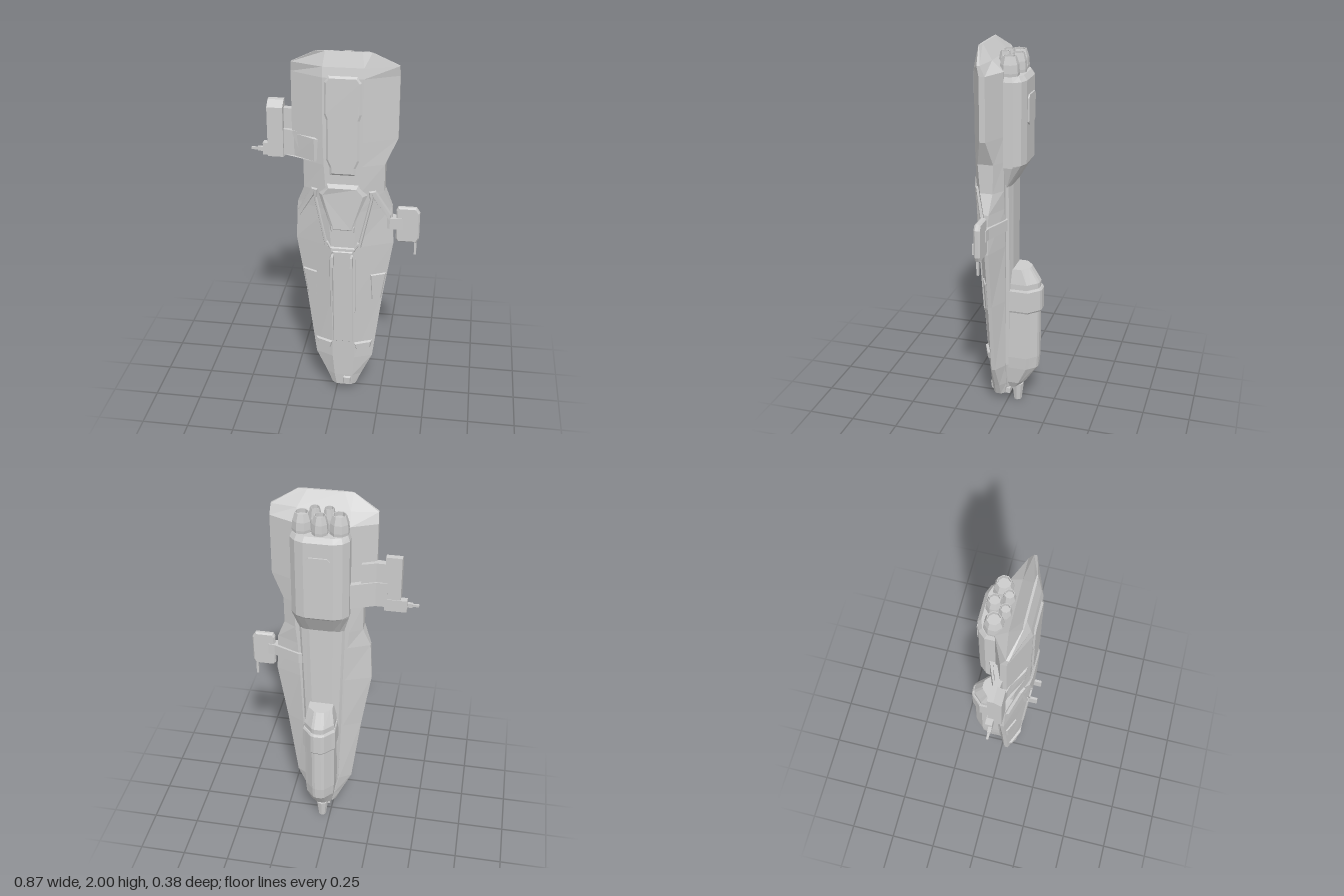
import * as THREE from 'three';

const mat = new THREE.MeshStandardMaterial({ color: 0xcccccc, flatShading: true, side: THREE.DoubleSide });

// Hull stations: y, half width, front flat half width, front z, rim front z, rim back z, back half width, back z
const HULL = [
  [0.05, 0.065, 0.04, 0.078, 0.06, 0.03, 0.05, 0.01],
  [0.12, 0.095, 0.05, 0.085, 0.055, 0.03, 0.06, 0],
  [0.25, 0.155, 0.06, 0.095, 0.055, 0.035, 0.09, -0.005],
  [0.65, 0.205, 0.06, 0.123, 0.055, 0.035, 0.11, -0.01],
  [0.97, 0.255, 0.06, 0.143, 0.055, 0.035, 0.12, -0.015],
  [1.18, 0.245, 0.075, 0.148, 0.06, 0.035, 0.13, -0.015],
  [1.28, 0.205, 0.085, 0.148, 0.09, 0.025, 0.14, -0.015],
  [1.43, 0.205, 0.095, 0.148, 0.1, 0.02, 0.14, -0.015],
  [1.56, 0.265, 0.1, 0.148, 0.07, 0.04, 0.14, -0.015],
  [1.88, 0.265, 0.1, 0.148, 0.07, 0.04, 0.14, -0.015],
  [1.93, 0.262, 0.1, 0.138, 0.08, 0.065, 0.13, 0.045],
  [2.0, 0.135, 0.09, 0.115, 0.111, 0.107, 0.09, 0.104],
];

// Height of the hull's front skin
function hullZ(x, y) {
  let i = 0;
  while (i < HULL.length - 2 && y > HULL[i + 1][0]) i++;
  const a = HULL[i], b = HULL[i + 1];
  const t = THREE.MathUtils.clamp((y - a[0]) / (b[0] - a[0]), 0, 1);
  const [, w, f, zf, ze] = a.map((v, k) => v + (b[k] - v) * t);
  const s = THREE.MathUtils.clamp((Math.abs(x) - f) / (w - f), 0, 1);
  return zf + (ze - zf) * s;
}

// Skin rings listed from low to high; each is {y, pts:[[x,z]...]} running front, +x, back, -x
function loft(rings) {
  const pos = [], n = rings[0].pts.length;
  const v = (r, i) => [r.pts[i % n][0], r.y, r.pts[i % n][1]];
  for (let k = 0; k < rings.length - 1; k++) {
    const a = rings[k], b = rings[k + 1];
    for (let i = 0; i < n; i++)
      pos.push(...v(a, i), ...v(a, i + 1), ...v(b, i + 1), ...v(a, i), ...v(b, i + 1), ...v(b, i));
  }
  const lo = rings[0], hi = rings[rings.length - 1];
  for (let i = 1; i < n - 1; i++)
    pos.push(...v(lo, 0), ...v(lo, i + 1), ...v(lo, i), ...v(hi, 0), ...v(hi, i), ...v(hi, i + 1));
  const g = new THREE.BufferGeometry();
  g.setAttribute('position', new THREE.Float32BufferAttribute(pos, 3));
  g.computeVertexNormals();
  return g;
}

const mirrored = (y, half) => ({ y, pts: [...half, ...half.map(([x, z]) => [-x, z]).reverse()] });

function add(parent, name, geo, x = 0, y = 0, z = 0) {
  const m = new THREE.Mesh(geo, mat);
  m.name = name;
  m.position.set(x, y, z);
  parent.add(m);
  return m;
}

function box(parent, name, x0, x1, y0, y1, z0, z1) {
  return add(parent, name, new THREE.BoxGeometry(x1 - x0, y1 - y0, z1 - z0),
    (x0 + x1) / 2, (y0 + y1) / 2, (z0 + z1) / 2);
}

// Raised panel that follows the hull skin
function panel(parent, name, pts, h, bevel = 0.005) {
  const shape = new THREE.Shape(pts.map(p => new THREE.Vector2(...p)));
  const g = new THREE.ExtrudeGeometry(shape, {
    depth: 0.015, bevelEnabled: true, bevelThickness: h, bevelSize: bevel, bevelOffset: -bevel, bevelSegments: 1,
  });
  const p = g.attributes.position;
  for (let i = 0; i < p.count; i++)
    p.setZ(i, p.getZ(i) - 0.015 + hullZ(p.getX(i), p.getY(i)));
  g.computeVertexNormals();
  return add(parent, name, g);
}

const sym = half => [...half, ...half.map(([x, y]) => [-x, y]).reverse()];

export function createModel() {
  const model = new THREE.Group();
  model.name = 'spacecraft';
  const body = new THREE.Group();
  body.name = 'body';
  body.position.x = 0.045;
  model.add(body);

  // Main hull
  add(body, 'hull', loft(HULL.map(([y, w, f, zf, ze, zr, b, zb]) =>
    mirrored(y, [[f, zf], [w, ze], [w, zr], [b, zb]]))));

  // Rounded keel along the back
  const keel = [[0.09, 0.05, -0.02], [0.25, 0.085, -0.035], [0.7, 0.105, -0.04], [1.45, 0.13, -0.042]];
  add(body, 'keel', loft(keel.map(([y, w, z]) =>
    mirrored(y, [[w, 0.03], [w, -0.008], [w * 0.85, z * 0.7], [w * 0.5, z]]))));

  // Engine housing with sloped ends
  const engine = [[1.29, 0.115, -0.04], [1.4, 0.145, -0.105], [1.41, 0.145, -0.113], [1.83, 0.145, -0.113], [1.855, 0.135, -0.095]];
  add(body, 'engineHousing', loft(engine.map(([y, w, z]) =>
    mirrored(y, [[w, 0.03], [w, z * 0.55], [w * 0.8, z * 0.85], [w * 0.5, z]]))));
  const hatch = new THREE.Shape([[0.06, 1.62], [0.06, 1.74], [0.045, 1.755], [-0.045, 1.755], [-0.06, 1.74],
    [-0.06, 1.62], [-0.045, 1.605], [0.045, 1.605]].map(p => new THREE.Vector2(...p)));
  add(body, 'engineHatch', new THREE.ExtrudeGeometry(hatch, { depth: 0.03, bevelEnabled: false }), 0, 0, -0.121);

  // Engine nozzles with recessed mouths
  for (const [x, z, r, top] of [[-0.09, -0.03, 0.05, 1.95], [0.09, -0.03, 0.05, 1.95], [0, -0.05, 0.042, 1.95],
    [-0.035, 0.008, 0.035, 1.96], [0.035, 0.008, 0.035, 1.96]]) {
    const prof = [[r * 0.8, 1.8], [r * 0.95, 1.84], [r, 1.87], [r * 0.93, 1.91], [r * 0.68, top],
      [r * 0.6, top], [r * 0.6, top - 0.02], [0, top - 0.02]];
    add(body, 'engineNozzle', new THREE.LatheGeometry(prof.map(p => new THREE.Vector2(...p)), 8, Math.PI / 8), x, 0, z);
  }

  // Belly pod
  const pod = [[0.09, 0.04, -0.06], [0.13, 0.06, -0.1], [0.23, 0.075, -0.168], [0.3, 0.08, -0.174],
    [0.74, 0.08, -0.174], [0.82, 0.065, -0.125]];
  const podRing = (y, w, z) => mirrored(y, [[w, -0.01], [w, z * 0.68], [w * 0.82, z * 0.76], [w * 0.42, z * 0.96], [w * 0.22, z]]);
  add(body, 'bellyPod', loft(pod.map(r => podRing(...r))));
  add(body, 'bellyPodBand', loft([podRing(0.575, 0.084, -0.181), podRing(0.585, 0.088, -0.188),
    podRing(0.7, 0.088, -0.188), podRing(0.71, 0.084, -0.181)]));

  // Nose gun and chin fittings
  add(body, 'noseGun', new THREE.CylinderGeometry(0.034, 0.022, 0.1, 8), 0, 0.05, -0.05);
  box(body, 'noseBlock', -0.04, 0.04, 0.045, 0.075, -0.015, 0.05);
  panel(body, 'noseSensor', sym([[0.02, 0.06], [0.022, 0.11]]).map(([x, y]) => [x + 0.02, y]), 0.012);

  // Spine panel and canopy
  panel(body, 'spinePanel', sym([[0.065, 1.38], [0.065, 1.42], [0.082, 1.46], [0.082, 1.67], [0.092, 1.7], [0.09, 1.86], [0.07, 1.89]]), 0.008, 0.01);
  panel(body, 'canopy', sym([[0.06, 1.06], [0.125, 1.27], [0.08, 1.33]]), 0.012, 0.02);
  panel(body, 'canopyFoot', sym([[0.06, 1.06], [0.065, 1.1]]), 0.009);
  panel(body, 'collar', sym([[0.06, 0.945], [0.095, 1.0], [0.075, 1.0], [0.06, 0.97]]), 0.01);

  // Centre strip on the nose
  panel(body, 'centreStrip', sym([[0.055, 0.36], [0.055, 0.945]]), 0.006);

  // Paired details on the front skin
  for (const s of [-1, 1]) {
    const side = pts => pts.map(([x, y]) => [s * x, y]).sort(() => 0);
    const put = (name, pts, h, b) => panel(body, name, s > 0 ? side(pts) : side(pts).reverse(), h, b);
    put('innerRidge', [[0.075, 0.97], [0.095, 0.97], [0.155, 1.25], [0.15, 1.29], [0.13, 1.29], [0.135, 1.24]], 0.012);
    put('outerRidge', [[0.235, 1.1], [0.242, 1.14], [0.165, 1.29], [0.14, 1.29], [0.15, 1.25]], 0.012);
    put('flankPanel', [[0.15, 0.63], [0.198, 0.63], [0.222, 0.79], [0.142, 0.79]], 0.008);
    put('thrusterBlock', [[0.07, 0.31], [0.145, 0.31], [0.155, 0.355], [0.06, 0.355]], 0.014, 0.006);
    put('stripRail', [[0.055, 0.55], [0.07, 0.57], [0.07, 0.9], [0.055, 0.94]], 0.008, 0.003);
    box(body, 'dorsalPeg', s * 0.05 - 0.006, s * 0.05 + 0.006, 0.87, 0.93, 0.13, 0.188);
  }

  // Wing arm on the right side, merging into the hull
  const wing = new THREE.Group();
  wing.name = 'rightWing';
  model.add(wing);
  const armRing = (y, zf) => ({ y, pts: [[-0.1, zf], [-0.04, zf], [-0.04, -0.05], [-0.09, -0.045],
    [-0.22, 0.008], [-0.28, 0.008], [-0.28, 0.06], [-0.21, 0.073]] });
  add(wing, 'wingArm', loft([armRing(1.44, 0.132), armRing(1.56, 0.137), armRing(1.575, 0.11)]));
  add(wing, 'wingWeb', loft([1.57, 1.68].map(y => ({ y, pts: [[-0.19, 0.055], [-0.15, 0.055], [-0.15, -0.01],
    [-0.22, 0.015], [-0.28, 0.015], [-0.28, 0.045]] }))));
  const podBox = (y, z) => ({ y, pts: [[-0.265, z], [-0.265, 0.01], [-0.345, 0.01], [-0.345, z]] });
  add(wing, 'wingPod', loft([podBox(1.43, 0.078), podBox(1.69, 0.078), podBox(1.72, 0.04)]));
  box(wing, 'gunMount', -0.378, -0.265, 1.42, 1.485, 0.006, 0.04);
  box(wing, 'gunBarrel', -0.437, -0.37, 1.445, 1.457, 0.026, 0.037);
  box(wing, 'gunSleeve', -0.405, -0.37, 1.44, 1.462, 0.023, 0.04);

  // Sensor pod on the left side
  const sensor = new THREE.Group();
  sensor.name = 'leftSensor';
  model.add(sensor);
  const outline = new THREE.Shape([[0.325, 0.99], [0.415, 0.99], [0.425, 1.01], [0.425, 1.15], [0.41, 1.173],
    [0.325, 1.173], [0.318, 1.16], [0.318, 1.0]].map(p => new THREE.Vector2(...p)));
  add(sensor, 'sensorPod', new THREE.ExtrudeGeometry(outline, {
    depth: 0.015, bevelEnabled: true, bevelThickness: 0.009, bevelSize: 0.007, bevelSegments: 1,
  }), 0, 0, 0.044);
  box(sensor, 'sensorBarrel', 0.408, 0.42, 0.91, 1.0, 0.046, 0.058);
  add(sensor, 'sensorArm', loft([1.06, 1.12].map(y => ({ y, pts: [[0.24, 0.06], [0.28, 0.078], [0.345, 0.074],
    [0.345, 0.03], [0.31, 0.026], [0.17, -0.028], [0.14, -0.02]] }))));
  return model;
}
